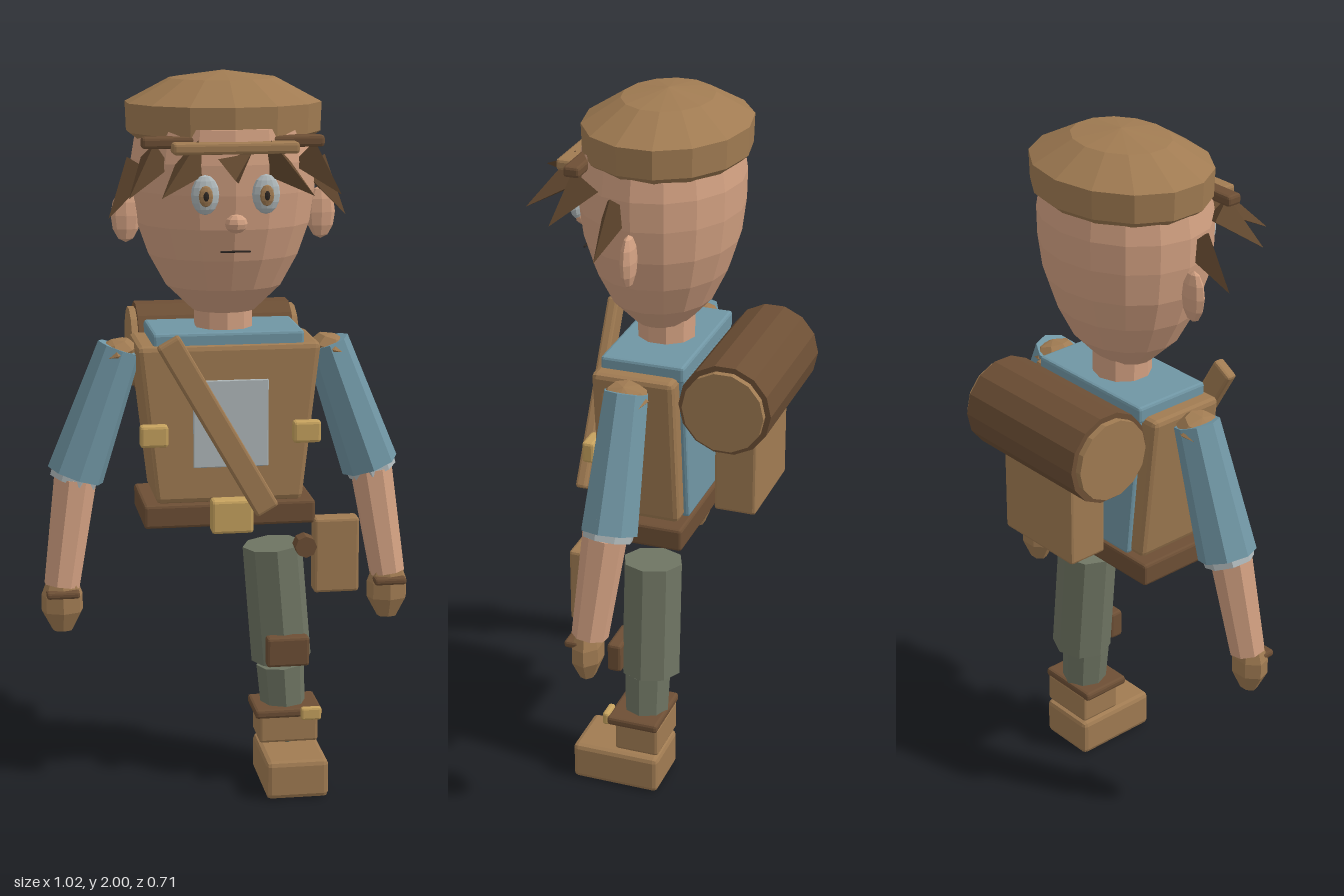
import * as THREE from 'three';
import { RoundedBoxGeometry } from 'three/addons/geometries/RoundedBoxGeometry.js';

const paint = (name, color) => {
  const m = new THREE.MeshStandardMaterial({ color, flatShading: true });
  m.name = name;
  return m;
};

export function createModel() {
  const leather = paint('leather', 0xa07b52);
  const darkLeather = paint('darkLeather', 0x6d4f35);
  const hair = paint('hair', 0x62482f);
  const skin = paint('skin', 0xd3a182);
  const blue = paint('blueCloth', 0x7096a4);
  const grey = paint('paleGrey', 0xb0b9bb);
  const olive = paint('oliveCloth', 0x6f7563);
  const gold = paint('brass', 0xc6a25e);
  const black = paint('black', 0x2c2622);

  const model = new THREE.Group();
  model.name = 'traveller';
  const V = (x, y, z) => new THREE.Vector3(x, y, z);
  const UP = V(0, 1, 0);

  const add = (name, geometry, material, x = 0, y = 0, z = 0) => {
    const mesh = new THREE.Mesh(geometry, material);
    mesh.name = name;
    mesh.position.set(x, y, z);
    model.add(mesh);
    return mesh;
  };
  // Chamfered box given by its limits
  const box = (name, mat, x0, x1, y0, y1, z0, z1, bevel = 0.008) => {
    const [w, h, d] = [x1 - x0, y1 - y0, z1 - z0];
    const r = Math.min(bevel, w / 3, h / 3, d / 3);
    return add(name, new RoundedBoxGeometry(w, h, d, 1, r), mat, (x0 + x1) / 2, (y0 + y1) / 2, (z0 + z1) / 2);
  };
  // Box that narrows toward the bottom
  const taperedBox = (name, mat, topX, bottomX, y0, y1, z0, z1) => {
    const mesh = box(name, mat, -topX, topX, y0, y1, z0, z1, 0.015);
    const p = mesh.geometry.attributes.position;
    for (let i = 0; i < p.count; i++) {
      const t = p.getY(i) / (y1 - y0) + 0.5;
      p.setX(i, p.getX(i) * THREE.MathUtils.lerp(bottomX / topX, 1, t));
    }
    return mesh;
  };
  // Faceted tapered cylinder from a to b
  const limb = (name, mat, a, b, ra, rb, sides = 8) => {
    const dir = b.clone().sub(a);
    const c = a.clone().add(b).multiplyScalar(0.5);
    const mesh = add(name, new THREE.CylinderGeometry(rb, ra, dir.length(), sides), mat, c.x, c.y, c.z);
    mesh.quaternion.setFromUnitVectors(UP, dir.normalize());
    return mesh;
  };
  const ellipsoid = (name, mat, x, y, z, rx, ry, rz, w = 8, h = 6) => {
    const mesh = add(name, new THREE.SphereGeometry(1, w, h), mat, x, y, z);
    mesh.scale.set(rx, ry, rz);
    return mesh;
  };
  const lathe = (name, mat, profile, sides, depth) => {
    const g = new THREE.LatheGeometry(profile.map(([r, y]) => new THREE.Vector2(r, y)), sides);
    g.scale(1, 1, depth);
    return add(name, g, mat);
  };

  // Head, neck and cap
  lathe('head', skin, [[0, 1.352], [0.085, 1.36], [0.158, 1.43], [0.205, 1.515], [0.235, 1.6],
    [0.248, 1.69], [0.25, 1.77], [0.235, 1.86], [0, 1.9]], 16, 0.875).position.z = 0.015;
  limb('neck', skin, V(0, 1.3, 0.005), V(0, 1.38, 0.005), 0.08, 0.08, 10);
  lathe('cap', leather, [[0, 1.82], [0.235, 1.82], [0.262, 1.84], [0.265, 1.917], [0.145, 1.98], [0, 2]], 14, 0.83);
  box('capPeak', leather, -0.165, 0.165, 1.8, 1.83, 0.18, 0.25);
  box('capBand', darkLeather, -0.24, 0.24, 1.812, 1.842, 0.155, 0.2);

  // Fringe spikes and side locks: base, tip, base radius
  const spikes = [
    [V(0.005, 1.775, 0.2), V(-0.02, 1.745, 0.353), 0.06],
    [V(-0.1, 1.79, 0.19), V(-0.205, 1.7, 0.33), 0.055],
    [V(0.1, 1.79, 0.19), V(0.19, 1.7, 0.325), 0.055],
    [V(-0.2, 1.79, 0.15), V(-0.28, 1.69, 0.245), 0.05],
    [V(0.2, 1.79, 0.15), V(0.28, 1.69, 0.225), 0.05],
    [V(-0.225, 1.75, 0.06), V(-0.318, 1.62, 0.09), 0.05],
    [V(0.225, 1.75, 0.06), V(0.318, 1.62, 0.09), 0.05],
  ];
  for (const [a, b, r] of spikes) limb('hairSpike', hair, a, b, r, 0, 3);

  // Face
  ellipsoid('nose', skin, 0, 1.62, 0.238, 0.03, 0.025, 0.025);
  box('mouth', black, -0.04, 0.04, 1.543, 1.548, 0.222, 0.228);
  for (const s of [-1, 1]) {
    ellipsoid('eyeWhite', grey, s * 0.08, 1.695, 0.226, 0.037, 0.052, 0.018, 12, 8);
    ellipsoid('iris', leather, s * 0.08, 1.693, 0.241, 0.019, 0.028, 0.008, 10, 6);
    ellipsoid('pupil', black, s * 0.08, 1.693, 0.247, 0.008, 0.013, 0.005);
    ellipsoid('ear', skin, s * 0.265, 1.618, 0.013, 0.04, 0.072, 0.02);
  }

  // Torso
  taperedBox('vest', leather, 0.25, 0.2, 0.845, 1.28, -0.1, 0.13);
  taperedBox('shirtBack', blue, 0.2, 0.155, 0.845, 1.28, -0.115, -0.09);
  box('collar', blue, -0.205, 0.205, 1.265, 1.312, -0.115, 0.118);
  box('chestPanel', grey, -0.1, 0.105, 0.945, 1.185, 0.128, 0.136);
  box('belt', darkLeather, -0.235, 0.235, 0.78, 0.845, -0.12, 0.14);
  box('beltBuckle', gold, -0.057, 0.057, 0.772, 0.865, 0.14, 0.19);
  const strap = add('chestStrap', new RoundedBoxGeometry(0.068, 0.54, 0.033, 1, 0.008), leather, -0.045, 1.077, 0.218);
  strap.rotation.z = 0.52;
  for (const s of [-1, 1]) box('vestClasp', gold, s * 0.208 - 0.038, s * 0.208 + 0.038, 1.01, 1.07, 0.125, 0.16);
  box('beltPouch', leather, 0.23, 0.355, 0.585, 0.795, 0.1, 0.158);
  limb('pouchToggle', darkLeather, V(0.205, 0.72, 0.12), V(0.205, 0.72, 0.168), 0.03, 0.03);

  // Backpack and bedroll
  box('backpack', leather, -0.14, 0.14, 0.875, 1.14, -0.297, -0.18);
  limb('bedroll', darkLeather, V(-0.217, 1.215, -0.232), V(0.217, 1.215, -0.232), 0.127, 0.127, 14);
  limb('bedrollCaps', leather, V(-0.235, 1.215, -0.232), V(0.235, 1.215, -0.232), 0.112, 0.112, 14);

  // Arms
  for (const s of [-1, 1]) {
    limb('sleeve', blue, V(s * 0.285, 1.26, 0.015), V(s * 0.41, 0.91, 0.018), 0.062, 0.08);
    limb('sleeveCuff', grey, V(s * 0.398, 0.945, 0.018), V(s * 0.418, 0.892, 0.02), 0.074, 0.068);
    limb('forearm', skin, V(s * 0.412, 0.9, 0.03), V(s * 0.455, 0.61, 0.06), 0.06, 0.05);
    const pad = ellipsoid('shoulderPad', leather, s * 0.295, 1.247, 0.015, 0.06, 0.038, 0.065, 8, 4);
    pad.rotation.z = -s * 0.3;
    lathe('glove', leather, [[0, 0.482], [0.028, 0.485], [0.058, 0.54], [0.058, 0.585], [0.045, 0.62], [0, 0.622]], 7, 0.75)
      .position.set(s * 0.455, 0, 0.068);
    box('gloveStrap', darkLeather, s * 0.455 - 0.045, s * 0.455 + 0.045, 0.585, 0.605, 0.075, 0.118);
  }

  // Leg and boot
  limb('thigh', olive, V(0.168, 0.35, -0.007), V(0.14, 0.685, -0.005), 0.085, 0.084);
  box('kneePatch', darkLeather, 0.11, 0.23, 0.355, 0.44, 0.06, 0.102);
  limb('shin', olive, V(0.178, 0.12, 0.005), V(0.163, 0.338, 0.005), 0.06, 0.068);
  box('bootCuff', leather, 0.095, 0.262, 0.12, 0.21, -0.06, 0.068);
  box('bootStrap', darkLeather, 0.08, 0.27, 0.2, 0.226, -0.06, 0.09);
  box('bootClasp', gold, 0.207, 0.265, 0.195, 0.233, 0.085, 0.105);
  box('bootFoot', leather, 0.095, 0.27, 0, 0.11, -0.06, 0.195, 0.014);

  return model;
}
